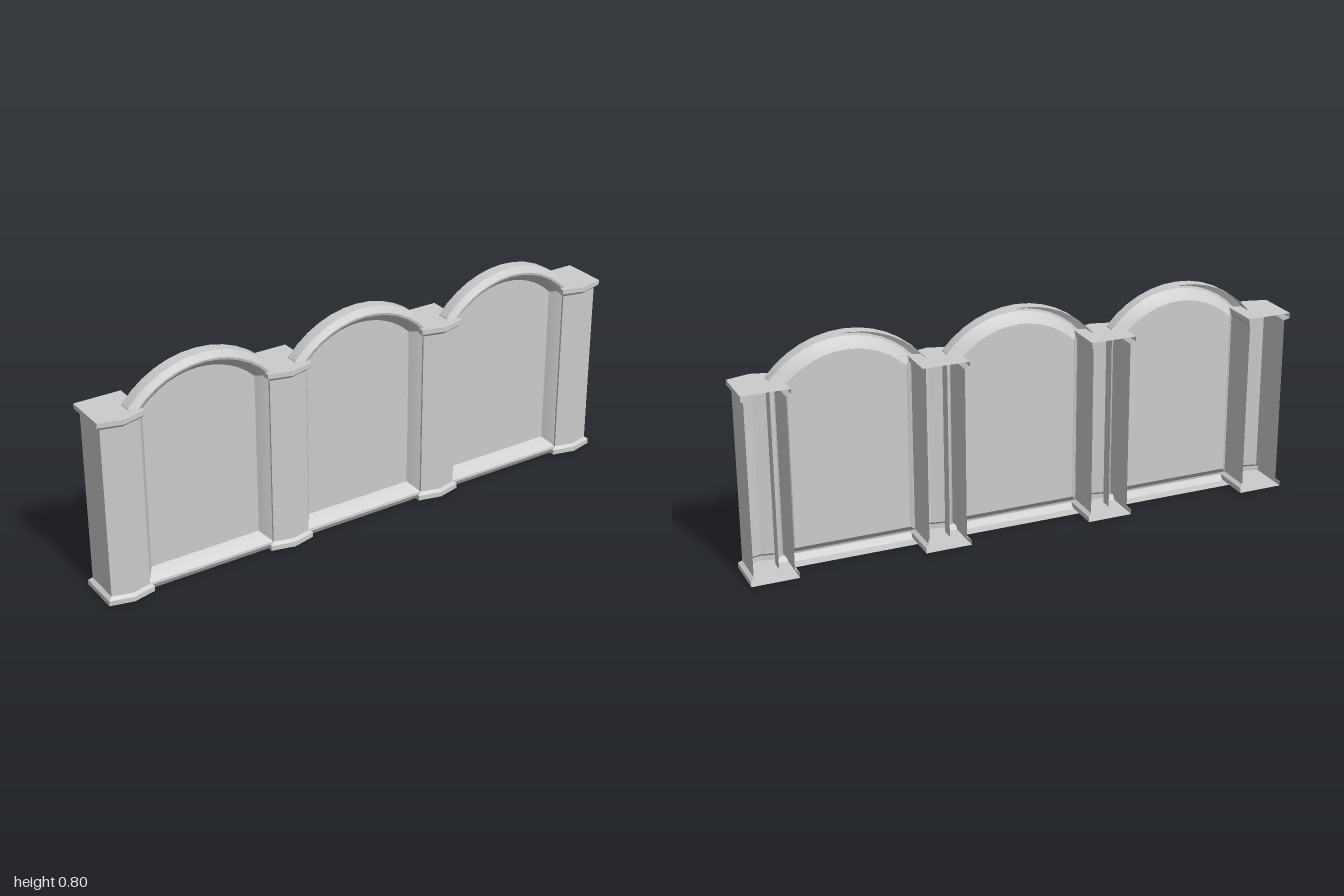
import * as THREE from 'three';
import { toCreasedNormals } from 'three/addons/utils/BufferGeometryUtils.js';

const material = new THREE.MeshStandardMaterial({ color: 0xcccccc, side: THREE.DoubleSide });

// Skin a stack of equal-length rings, optionally closing the loop and the ends.
function loft(rings, { closed = false, capFirst = false, capLast = false }) {
  const n = rings[0].length;
  const index = [];
  for (let i = 0; i < rings.length - 1; i++) {
    for (let j = 0; j < (closed ? n : n - 1); j++) {
      const k = (j + 1) % n;
      const a = i * n + j, b = i * n + k, c = a + n, d = b + n;
      index.push(a, b, d, a, d, c);
    }
  }
  const last = (rings.length - 1) * n;
  for (let j = 1; j < n - 1; j++) {
    if (capFirst) index.push(0, j + 1, j);
    if (capLast) index.push(last, last + j, last + j + 1);
  }
  const geometry = new THREE.BufferGeometry();
  geometry.setAttribute('position', new THREE.Float32BufferAttribute(rings.flat(2), 3));
  geometry.setIndex(index);
  return toCreasedNormals(geometry, 0.4);
}

// Pillar: pointed front, open back, with chamfered base and cap
function pillarGeometry() {
  // height, half width, side front z, point z, back z
  const levels = [
    [0.004, 0.083, 0.068, 0.088, -0.088],
    [0.022, 0.083, 0.068, 0.088, -0.088],
    [0.032, 0.07, 0.06, 0.078, -0.077],
    [0.642, 0.07, 0.06, 0.078, -0.077],
    [0.655, 0.083, 0.071, 0.093, -0.092],
    [0.672, 0.083, 0.071, 0.093, -0.092],
  ];
  const rings = levels.map(([y, w, side, point, back]) => [
    [-w, y, back], [-w, y, side], [0, y, point], [w, y, side], [w, y, back],
  ]);
  return loft(rings, { capFirst: true, capLast: true });
}

// Arched outline, moved inwards by d, at depth z
function archRing(d, z, segments = 12) {
  const halfWidth = 0.268 - d, radius = 0.349 - d, centreY = 0.451;
  const spread = Math.asin(halfWidth / radius);
  const ring = [[halfWidth, d, z]];
  for (let i = 0; i <= segments; i++) {
    const a = spread * (1 - (2 * i) / segments);
    ring.push([radius * Math.sin(a), centreY + radius * Math.cos(a), z]);
  }
  ring.push([-halfWidth, d, z]);
  return ring;
}

// Moulding section: inward offset, z
const moulding = [
  [0, 0], [0, 0.043], [0.022, 0.057], [0.03, 0.055],
  [0.043, 0.042], [0.055, 0.027], [0.063, 0.015],
];

export function createModel() {
  const model = new THREE.Group();
  model.name = 'archedFence';
  const spacing = 0.6113;

  const pillar = pillarGeometry();
  for (let i = 0; i < 4; i++) {
    const mesh = new THREE.Mesh(pillar, material);
    mesh.name = 'pillar';
    mesh.position.x = (i - 1.5) * spacing;
    model.add(mesh);
  }

  // Arched bays: hollow moulded frame around a recessed panel
  const frame = loft(moulding.map(([d, z]) => archRing(d, z)), { closed: true });
  const panel = loft([archRing(0.063, 0.015)], { capLast: true });
  for (let i = -1; i <= 1; i++) {
    const bay = new THREE.Group();
    bay.name = 'archedBay';
    bay.position.x = i * spacing;
    for (const [name, geometry] of [['frame', frame], ['panel', panel]]) {
      const mesh = new THREE.Mesh(geometry, material);
      mesh.name = name;
      bay.add(mesh);
    }
    model.add(bay);
  }
  return model;
}
